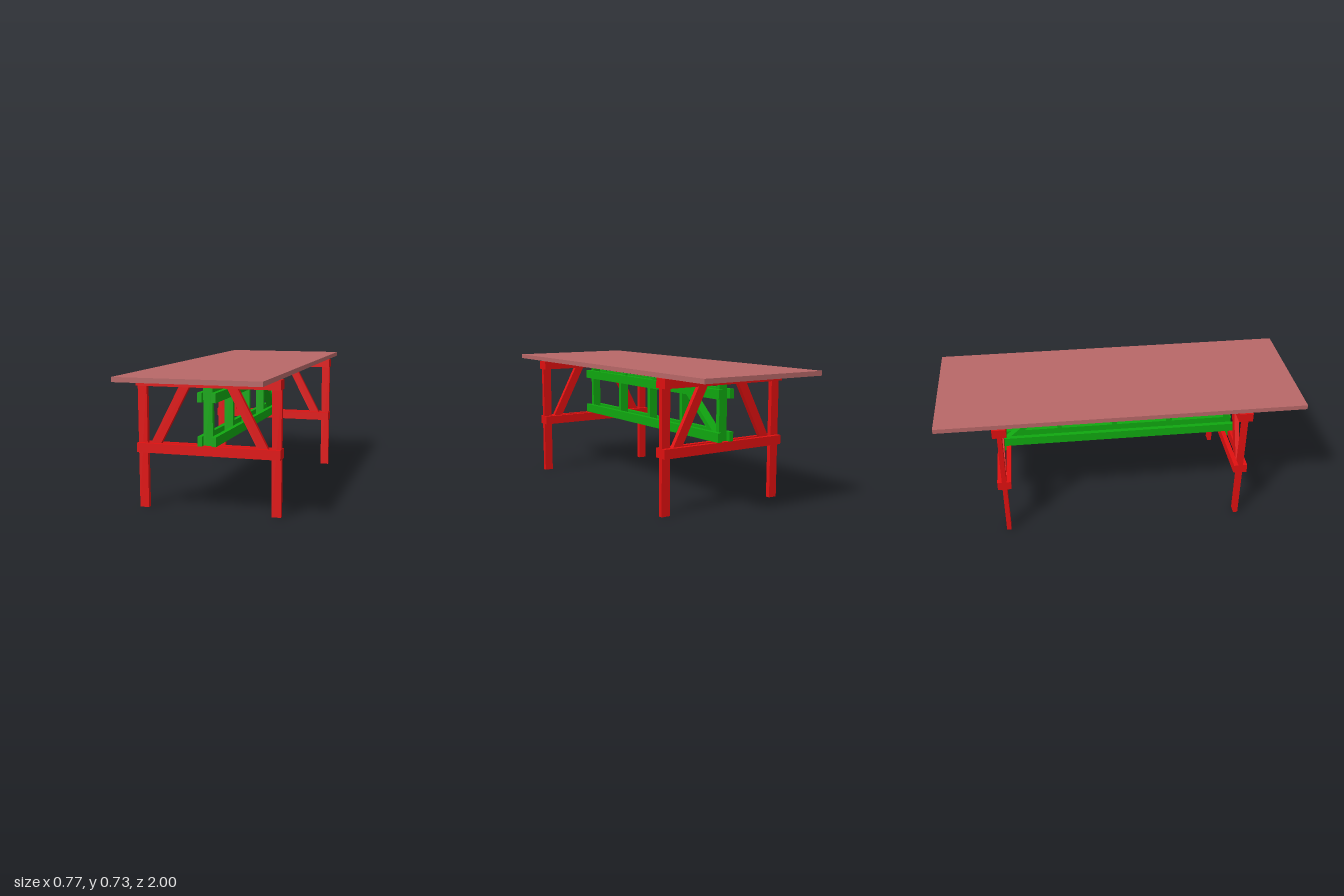
import * as THREE from 'three';

const red = new THREE.MeshStandardMaterial({ color: 0xe01010 });
const green = new THREE.MeshStandardMaterial({ color: 0x10a810 });
const rose = new THREE.MeshStandardMaterial({ color: 0xb86868 });

const T = 0.025; // board thickness
const W = 0.05; // board width
const END = 0.6625; // z of each trestle

// box given by its min / max extents
function board(parent, name, mat, [x0, x1], [y0, y1], [z0, z1]) {
  const mesh = new THREE.Mesh(new THREE.BoxGeometry(x1 - x0, y1 - y0, z1 - z0), mat);
  mesh.position.set((x0 + x1) / 2, (y0 + y1) / 2, (z0 + z1) / 2);
  mesh.name = name;
  parent.add(mesh);
}

// slanted board with level-cut ends, running from (a, y0) to (b, y1)
function slanted(name, mat, a, y0, b, y1, width, depth) {
  const h = width / 2;
  const shape = new THREE.Shape([
    new THREE.Vector2(a - h, y0), new THREE.Vector2(a + h, y0),
    new THREE.Vector2(b + h, y1), new THREE.Vector2(b - h, y1),
  ]);
  const geo = new THREE.ExtrudeGeometry(shape, { depth, bevelEnabled: false });
  geo.translate(0, 0, -depth / 2);
  const mesh = new THREE.Mesh(geo, mat);
  mesh.name = name;
  return mesh;
}

// end frame: two legs, paired rails clamping them, two diagonal braces
function makeTrestle() {
  const g = new THREE.Group();
  g.name = 'trestle';
  for (const s of [-1, 1]) {
    const x = s * 0.36;
    board(g, 'leg', red, [x - W / 2, x + W / 2], [0, 0.7], [-T / 2, T / 2]);
    for (const y of [0.3, 0.65]) {
      board(g, 'rail', red, [-0.385, 0.385], [y, y + W], [s * T - T / 2, s * T + T / 2]);
    }
    g.add(slanted('legBrace', red, s * 0.308, 0.31, s * 0.108, 0.69, 0.056, T));
  }
  return g;
}

// lengthwise truss: paired chords, posts between them, one diagonal
function makeStretcher() {
  const g = new THREE.Group();
  g.name = 'stretcher';
  for (const s of [-1, 1]) {
    const x = s * 0.0375;
    for (const y of [0.35, 0.575]) {
      board(g, 'chord', green, [x - T / 2, x + T / 2], [y, y + W], [-0.7, 0.7]);
    }
    board(g, 'endPost', green, [-T, T], [0.3, 0.7], [s * END - T / 2, s * END + T / 2]);
  }
  for (const z of [-0.335, -0.01, 0.315]) {
    board(g, 'post', green, [-T, T], [0.35, 0.625], [z - T / 2, z + T / 2]);
  }
  // drawn in the x-y plane, then turned so that +x becomes -z
  const diagonal = slanted('diagonal', green, 0.645, 0.36, 0.36, 0.61, 0.04, W);
  diagonal.rotation.y = Math.PI / 2;
  g.add(diagonal);
  return g;
}

export function createModel() {
  const model = new THREE.Group();
  model.name = 'trestleTable';
  board(model, 'tableTop', rose, [-0.375, 0.375], [0.7, 0.725], [-1, 1]);
  for (const s of [-1, 1]) {
    const trestle = makeTrestle();
    trestle.position.z = s * END;
    model.add(trestle);
  }
  model.add(makeStretcher());
  return model;
}
